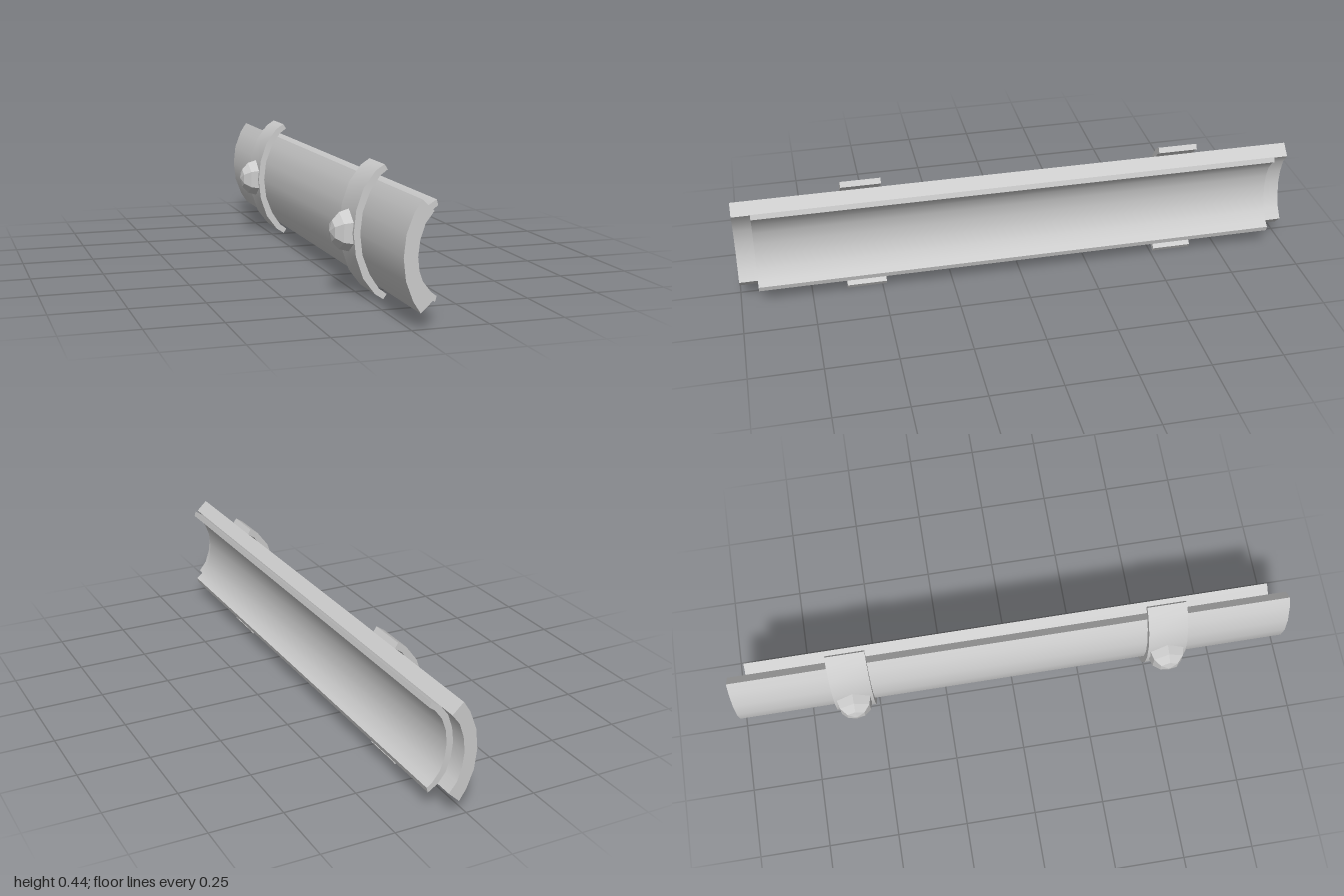
import * as THREE from 'three';
import { toCreasedNormals } from 'three/addons/utils/BufferGeometryUtils.js';

const MID = 0.22; // height of the mirror line
const material = new THREE.MeshStandardMaterial({ color: 0xcccccc });

// Half profile of [x, height above MID], tip first, mirrored into a full arc
function fullArc(half) {
  const lower = half.slice(0, -1).reverse().map(([x, h]) => [x, -h]);
  return [...half, ...lower].map(([x, h]) => new THREE.Vector2(x, MID + h));
}

// Curved plate between an outer and an inner arc, extruded along z
function curvedPlate(name, outer, inner, length, z = 0) {
  const shape = new THREE.Shape([...fullArc(outer), ...fullArc(inner).reverse()]);
  const extruded = new THREE.ExtrudeGeometry(shape, { depth: length, bevelEnabled: false });
  extruded.translate(0, 0, z - length / 2);
  const mesh = new THREE.Mesh(toCreasedNormals(extruded, 0.5), material);
  mesh.name = name;
  return mesh;
}

export function createModel() {
  const group = new THREE.Group();
  group.name = 'armGuard';

  // Main outer shell
  const shellOuter = [[0.028, 0.17], [0.004, 0.133], [-0.02, 0.07], [-0.028, 0]];
  const shellInner = [[0.066, 0.134], [0.039, 0.099], [0.023, 0.051], [0.017, 0]];
  group.add(curvedPlate('shell', shellOuter, shellInner, 2));

  // Shorter inner lining, projecting past the shell's long edges
  const liningOuter = [[0.1, 0.156], ...shellInner];
  const liningInner = [[0.105, 0.138], [0.086, 0.124], [0.06, 0.09], [0.045, 0.048], [0.04, 0]];
  group.add(curvedPlate('lining', liningOuter, liningInner, 1.87));

  // Two straps, each with a faceted stud
  const strapOuter = [[0.052, 0.219], [0.023, 0.2], [-0.017, 0.147], [-0.042, 0.075], [-0.05, 0]];
  const strapInner = [[0.063, 0.202], [0.037, 0.183], ...shellOuter.slice(1)];
  for (const z of [0.555, -0.58]) {
    group.add(curvedPlate('strap', strapOuter, strapInner, 0.14, z));

    // Six-sided dome pointing to -x, with corners at top and bottom
    const dome = new THREE.SphereGeometry(0.07, 6, 3, 0, Math.PI * 2, 0, Math.PI / 2);
    dome.scale(1, 0.93, 1);
    dome.rotateZ(Math.PI / 2);
    const stud = new THREE.Mesh(dome.toNonIndexed(), material.clone());
    stud.geometry.computeVertexNormals();
    stud.material.flatShading = true;
    stud.name = 'stud';
    stud.position.set(-0.043, MID, z);
    group.add(stud);
  }
  return group;
}
